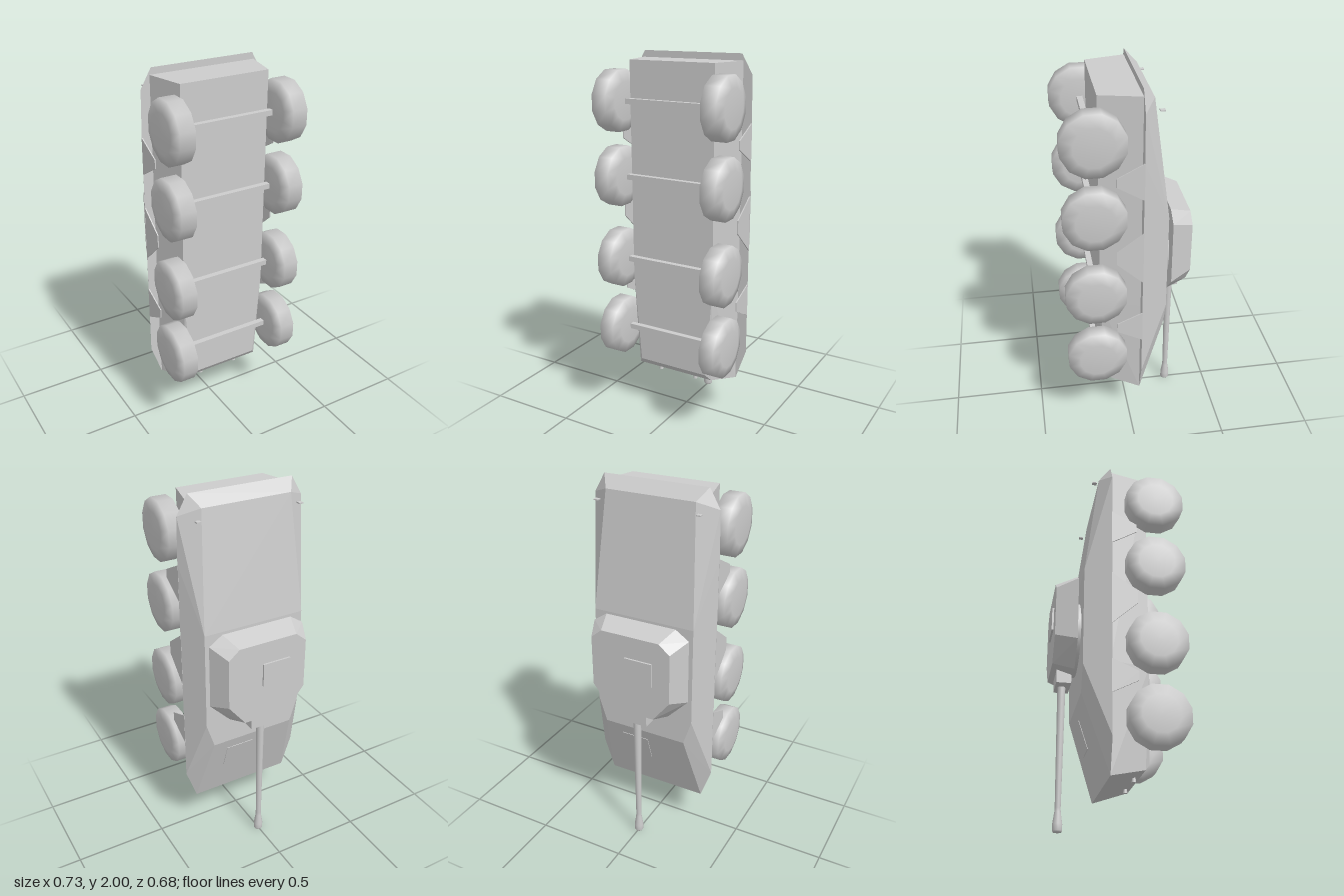
import * as THREE from 'three';
import { ConvexGeometry } from 'three/addons/geometries/ConvexGeometry.js';

// Built with local y = vehicle height and local z running from gun muzzle (0) to tail (2),
// then tipped so the vehicle stands on its muzzle.
export function createModel() {
  const model = new THREE.Group();
  model.name = 'wheeledArmouredVehicle';
  const vehicle = new THREE.Group();
  vehicle.name = 'vehicle';
  vehicle.rotation.x = -Math.PI / 2;
  model.add(vehicle);

  const grey = new THREE.MeshStandardMaterial({ color: 0xcccccc });
  grey.name = 'plainGrey';

  const add = (name, geometry, x = 0, y = 0, z = 0) => {
    const mesh = new THREE.Mesh(geometry, grey);
    mesh.name = name;
    mesh.position.set(x, y, z);
    vehicle.add(mesh);
    return mesh;
  };
  const box = (name, w, h, d, x, y, z) => add(name, new THREE.BoxGeometry(w, h, d), x, y, z);
  // Faceted solid from corner points mirrored across x = 0
  const facets = (name, corners) => add(name, new ConvexGeometry(
    corners.flatMap(([x, y, z]) => [new THREE.Vector3(x, y, z), new THREE.Vector3(-x, y, z)])));
  const lathe = (points, sides) =>
    new THREE.LatheGeometry(points.map(([r, y]) => new THREE.Vector2(r, y)), sides);

  // Lower hull with tapered nose
  facets('lowerHull', [
    [0.245, -0.155, 1.965], [0.245, -0.095, 1.965], [0.295, 0.053, 1.965],
    [0.245, -0.155, 0.8], [0.245, -0.095, 0.8], [0.295, 0.053, 0.8],
    [0.205, -0.155, 0.3], [0.23, -0.13, 0.265], [0.288, 0.053, 0.215],
  ]);

  // Upper hull: skirt outline, then deck corners
  facets('upperHull', [
    [0.29, 0.053, 0.215], [0.35, 0.053, 0.39], [0.35, 0.053, 1.66],
    [0.345, 0.053, 1.9], [0.287, 0.053, 2.0],
    [0.24, 0.192, 0.64], [0.285, 0.192, 0.78], [0.285, 0.192, 1.32], [0.245, 0.113, 1.94],
  ]);

  // Driver's hatch on the sloping front plate
  const frontHatch = box('driverHatch', 0.16, 0.006, 0.16, 0.07, 0.146, 0.5);
  frontHatch.rotation.x = -Math.atan2(0.139, 0.425);

  // Wheels and axles
  const wheelGeometry = lathe([[0, -0.057], [0.1, -0.057], [0.162, -0.041],
    [0.162, 0.041], [0.1, 0.057], [0, 0.057]], 12);
  wheelGeometry.rotateY(Math.PI / 12);
  wheelGeometry.rotateZ(Math.PI / 2);
  for (const z of [1.76, 1.365, 0.91, 0.51]) {
    box('axle', 0.495, 0.03, 0.028, 0, -0.185, z);
    for (const side of [-1, 1]) add('wheel', wheelGeometry, side * 0.31, -0.185, z);
  }

  // Skirt plates between the wheels
  const skirts = [[1.66, 1.59, 1.545, 1.465], [1.28, 1.18, 1.11, 0.985], [0.79, 0.73, 0.68, 0.61]];
  for (const [a, b, c, d] of skirts) {
    const outline = [[a, 0.055], [b, -0.08], [c, -0.08], [d, 0.055]];
    for (const side of [-1, 1]) {
      add('skirtPlate', new ConvexGeometry(outline.flatMap(([z, y]) =>
        [0.344, 0.35].map((x) => new THREE.Vector3(side * x, y, z)))));
    }
  }

  // Headlights and tail lights
  const lampGeometry = new THREE.CylinderGeometry(0.012, 0.008, 0.03, 12);
  lampGeometry.rotateX(-Math.PI / 2);
  for (const side of [-1, 1]) {
    add('headlight', lampGeometry, side * 0.112, -0.095, 0.248);
    box('tailLight', 0.024, 0.025, 0.006, side * 0.279, 0.143, 1.89);
  }

  // Turret ring, faceted turret and roof hatch
  add('turretRing', new THREE.CylinderGeometry(0.202, 0.202, 0.04, 32), 0, 0.205, 1.035);
  facets('turret', [
    [0.16, 0.218, 0.8], [0.275, 0.218, 0.92], [0.275, 0.218, 1.27], [0.2, 0.218, 1.32],
    [0.13, 0.33, 0.835], [0.225, 0.33, 0.955], [0.225, 0.33, 1.23], [0.165, 0.33, 1.28],
  ]);
  box('roofHatch', 0.158, 0.02, 0.13, -0.049, 0.33, 1.095);

  // Gun mount and barrel with muzzle brake
  box('gunMount', 0.15, 0.078, 0.12, 0, 0.262, 0.815);
  const barrel = lathe([[0, 0], [0.02, 0], [0.025, 0.008], [0.025, 0.04], [0.016, 0.1],
    [0.015, 0.12], [0.021, 0.7], [0.021, 0.78]], 16);
  barrel.rotateX(Math.PI / 2);
  add('gunBarrel', barrel, 0, 0.266, 0);

  return model;
}
